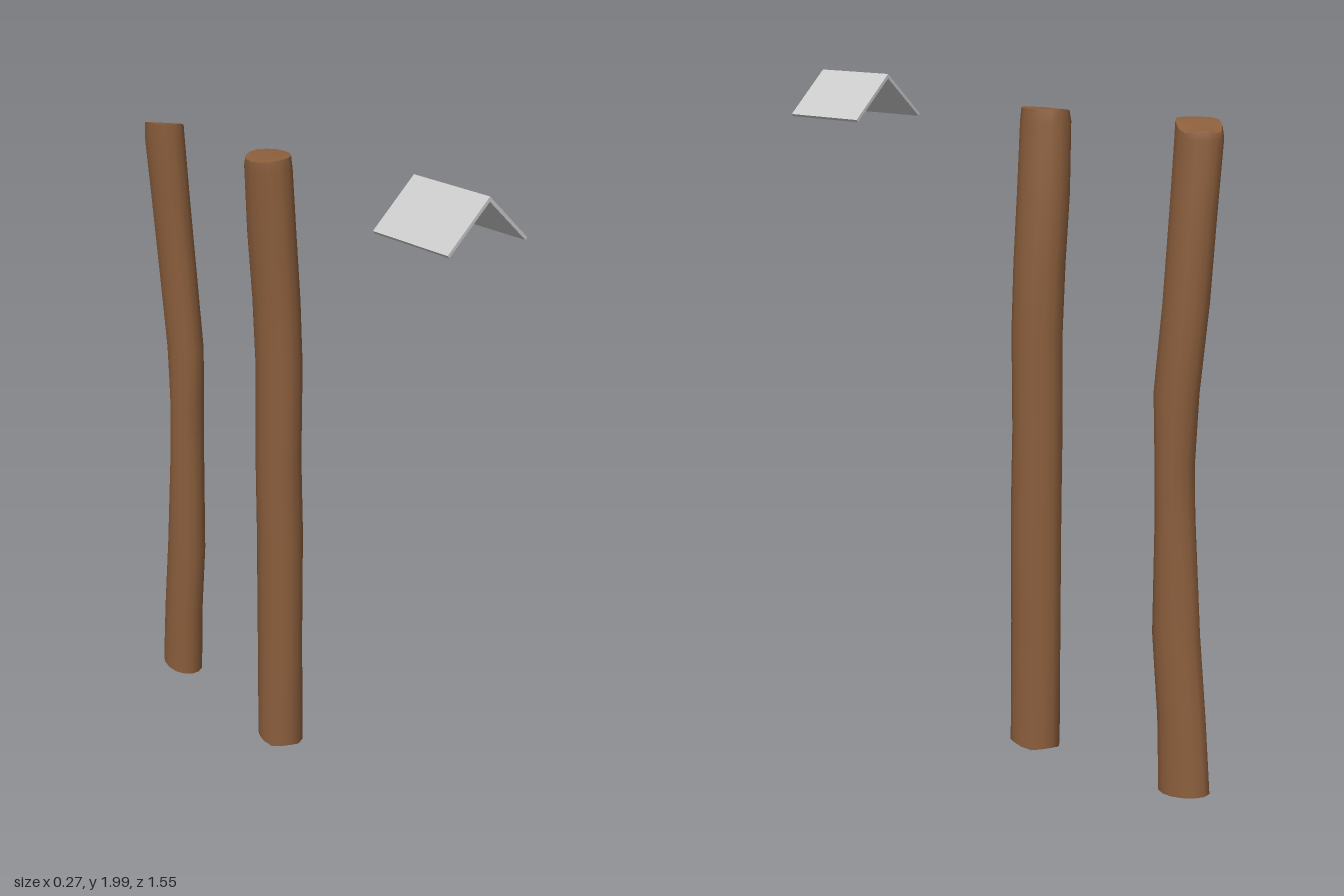
import * as THREE from 'three';

const SIDES = 14;
const bark = new THREE.MeshStandardMaterial({ color: 0x8b5e3c });
const grey = new THREE.MeshStandardMaterial({ color: 0xcccccc });

// Smooth trunk through oval sections [y, x, z, rx, rz]; endLift(angle, top) roughens the cut ends.
function trunk(name, sections, endLift) {
  const group = new THREE.Group();
  group.name = name;
  const last = sections.length - 1;
  const ring = (i) => {
    const [y, cx, cz, rx, rz] = sections[i];
    return Array.from({ length: SIDES }, (_, k) => {
      const a = (k / SIDES) * Math.PI * 2;
      const wobble = 1 + 0.02 * Math.sin(3 * a + i * 0.4);
      const lift = i === 0 || i === last ? endLift(a, i === last) : 0;
      return [cx + rx * wobble * Math.cos(a), y + lift, cz + rz * wobble * Math.sin(a)];
    });
  };
  const add = (part, points, index) => {
    const geo = new THREE.BufferGeometry();
    geo.setAttribute('position', new THREE.Float32BufferAttribute(points.flat(), 3));
    geo.setIndex(index);
    geo.computeVertexNormals();
    const mesh = new THREE.Mesh(geo, bark);
    mesh.name = part;
    group.add(mesh);
  };

  // Bark
  const side = [];
  for (let i = 0; i < last; i++) {
    for (let k = 0; k < SIDES; k++) {
      const n = (k + 1) % SIDES;
      const a = i * SIDES + k, b = i * SIDES + n;
      side.push(a, a + SIDES, b, b, a + SIDES, b + SIDES);
    }
  }
  add('bark', sections.flatMap((_, i) => ring(i)), side);

  // Cut ends
  for (const [part, i] of [['bottomCut', 0], ['topCut', last]]) {
    const [y, x, z] = sections[i];
    const index = [];
    for (let k = 0; k < SIDES; k++) {
      const n = (k + 1) % SIDES;
      index.push(SIDES, ...(i === 0 ? [k, n] : [n, k]));
    }
    add(part, [...ring(i), [x, y, z]], index);
  }
  return group;
}

// Two thin plates meeting at a ridge
function ridgeCap() {
  const shape = new THREE.Shape();
  const w = 0.142, t = 0.009;
  shape.moveTo(0, 2);
  shape.lineTo(-w + t * 0.6, 1.872);
  shape.lineTo(-w + t * 1.2, 1.865);
  shape.lineTo(0, 2 - t * 1.5);
  shape.lineTo(w - t * 1.2, 1.865);
  shape.lineTo(w - t * 0.6, 1.872);
  shape.closePath();
  const geo = new THREE.ExtrudeGeometry(shape, { depth: 0.285, bevelEnabled: false });
  geo.translate(0, 0, 0.49);
  const mesh = new THREE.Mesh(geo, grey);
  mesh.name = 'ridgeCap';
  return mesh;
}

export function createModel() {
  const model = new THREE.Group();
  model.name = 'postsAndRidgeCap';

  // Straight post leaning over near the top
  model.add(trunk('frontPost', [
    [0.012, 0.028, -0.126, 0.067, 0.081],
    [0.40, 0.029, -0.127, 0.066, 0.080],
    [0.75, 0.032, -0.128, 0.068, 0.080],
    [1.00, 0.028, -0.128, 0.066, 0.079],
    [1.30, 0.033, -0.129, 0.067, 0.079],
    [1.50, 0.026, -0.131, 0.067, 0.080],
    [1.70, 0.012, -0.133, 0.067, 0.081],
    [1.90, -0.004, -0.127, 0.067, 0.076],
    [1.937, -0.006, -0.125, 0.062, 0.072],
  ], (a, top) => (top ? -0.012 * Math.max(0, -Math.cos(a)) : 0.004 * Math.sin(4 * a))));

  // Crooked post with a notched top
  model.add(trunk('backPost', [
    [0.03, 0.036, -0.692, 0.058, 0.081],
    [0.25, 0.036, -0.677, 0.058, 0.075],
    [0.50, 0.038, -0.652, 0.058, 0.073],
    [0.85, 0.042, -0.641, 0.055, 0.057],
    [1.00, 0.044, -0.637, 0.055, 0.056],
    [1.20, 0.044, -0.637, 0.055, 0.067],
    [1.45, 0.036, -0.656, 0.056, 0.068],
    [1.70, 0.018, -0.660, 0.057, 0.068],
    [1.89, 0.004, -0.663, 0.058, 0.070],
    [1.932, 0.002, -0.660, 0.056, 0.066],
  ], (a, top) => (top
    ? 0.008 - 0.035 * Math.max(0, Math.cos(a)) ** 3 - 0.035 * Math.max(0, -Math.sin(a)) ** 3
    : -0.008 * Math.sin(a))));

  model.add(ridgeCap());
  return model;
}
